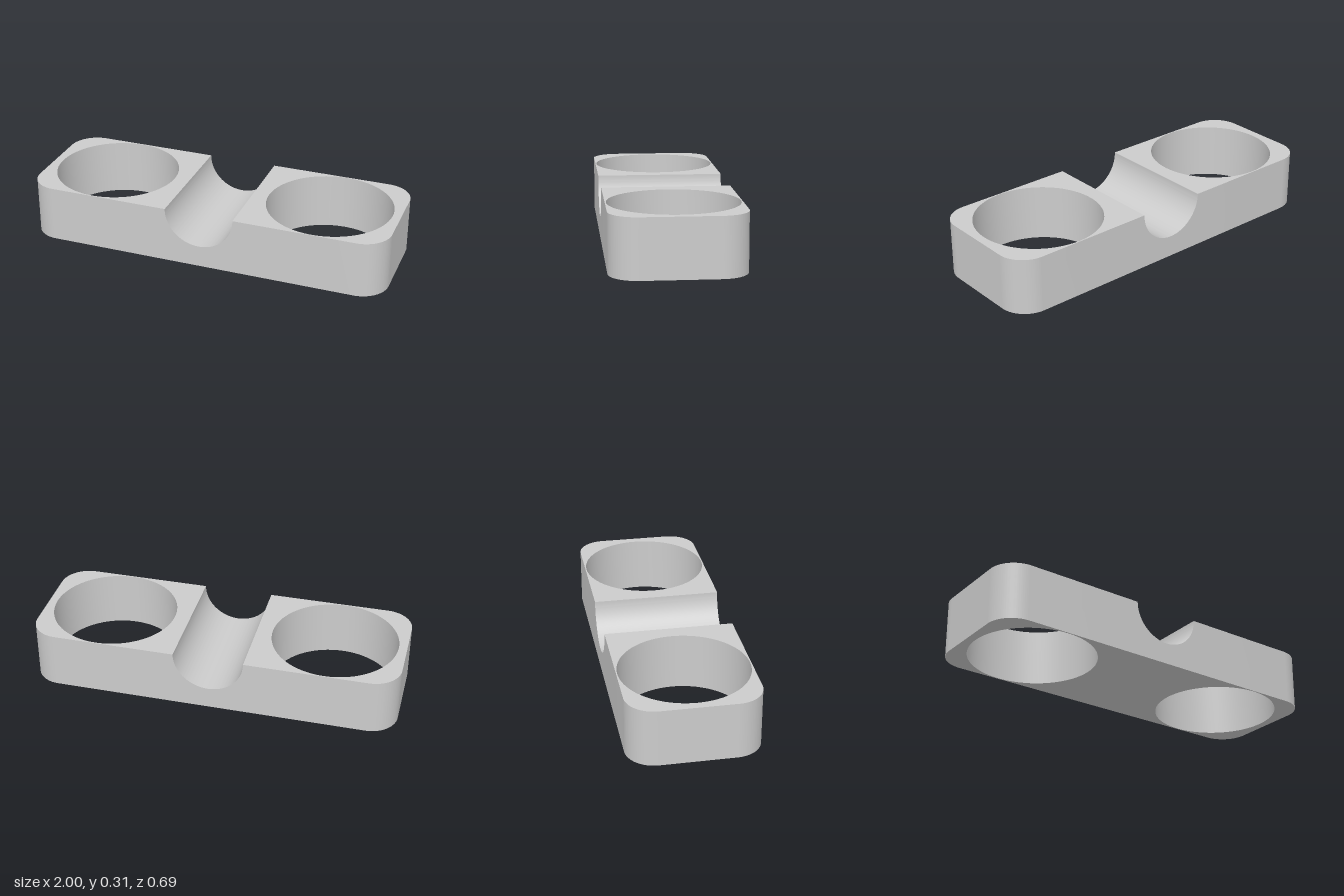
import * as THREE from 'three';
import { toCreasedNormals } from 'three/addons/utils/BufferGeometryUtils.js';

const HEIGHT = 0.308, HALF_DEPTH = 0.346, CORNER = 0.15;
const HOLE_X = 0.615, HOLE_R = 0.34;
const GROOVE_R = 0.19, SEAM = 0.23;

// Removes the hidden walls where the sections join, and keeps curved walls smooth
function finish(geometry) {
  const source = geometry.index ? geometry.toNonIndexed() : geometry;
  const p = source.attributes.position, kept = [];
  for (let i = 0; i < p.count; i += 3) {
    const hidden = [-SEAM, SEAM].some((x) => [0, 1, 2].every((k) => Math.abs(p.getX(i + k) - x) < 1e-5));
    if (hidden) continue;
    for (let k = 0; k < 3; k++) kept.push(p.getX(i + k), p.getY(i + k), p.getZ(i + k));
  }
  const result = new THREE.BufferGeometry();
  result.setAttribute('position', new THREE.Float32BufferAttribute(kept, 3));
  return toCreasedNormals(result, Math.PI / 6);
}

// Rounded end section with a round through hole
function endSection() {
  const d = HALF_DEPTH, c = CORNER;
  const shape = new THREE.Shape();
  shape.moveTo(SEAM, -d);
  shape.lineTo(1 - c, -d);
  shape.absarc(1 - c, -d + c, c, -Math.PI / 2, 0, false);
  shape.lineTo(1, d - c);
  shape.absarc(1 - c, d - c, c, 0, Math.PI / 2, false);
  shape.lineTo(SEAM, d);
  shape.closePath();
  const hole = new THREE.Path();
  hole.absarc(HOLE_X, 0, HOLE_R, 0, Math.PI * 2, true);
  shape.holes.push(hole);
  const geometry = new THREE.ExtrudeGeometry(shape, { depth: HEIGHT, bevelEnabled: false, curveSegments: 48 });
  return finish(geometry.rotateX(-Math.PI / 2));
}

// Middle section with a half-round groove running front to back
function grooveSection() {
  const shape = new THREE.Shape();
  shape.moveTo(-SEAM, 0);
  shape.lineTo(SEAM, 0);
  shape.lineTo(SEAM, HEIGHT);
  shape.lineTo(GROOVE_R, HEIGHT);
  shape.absarc(0, HEIGHT, GROOVE_R, 0, -Math.PI, true);
  shape.lineTo(-SEAM, HEIGHT);
  shape.closePath();
  const geometry = new THREE.ExtrudeGeometry(shape, { depth: HALF_DEPTH * 2, bevelEnabled: false, curveSegments: 40 });
  return finish(geometry.translate(0, 0, -HALF_DEPTH));
}

export function createModel() {
  const group = new THREE.Group();
  group.name = 'doubleRingBlock';
  const grey = new THREE.MeshStandardMaterial({ color: 0xcccccc });
  grey.name = 'lightGrey';

  const add = (name, geometry) => {
    const mesh = new THREE.Mesh(geometry, grey);
    mesh.name = name;
    group.add(mesh);
    return mesh;
  };

  const end = endSection();
  add('leftRingSection', end);
  add('rightRingSection', end).rotation.y = Math.PI;
  add('grooveSection', grooveSection());
  return group;
}
